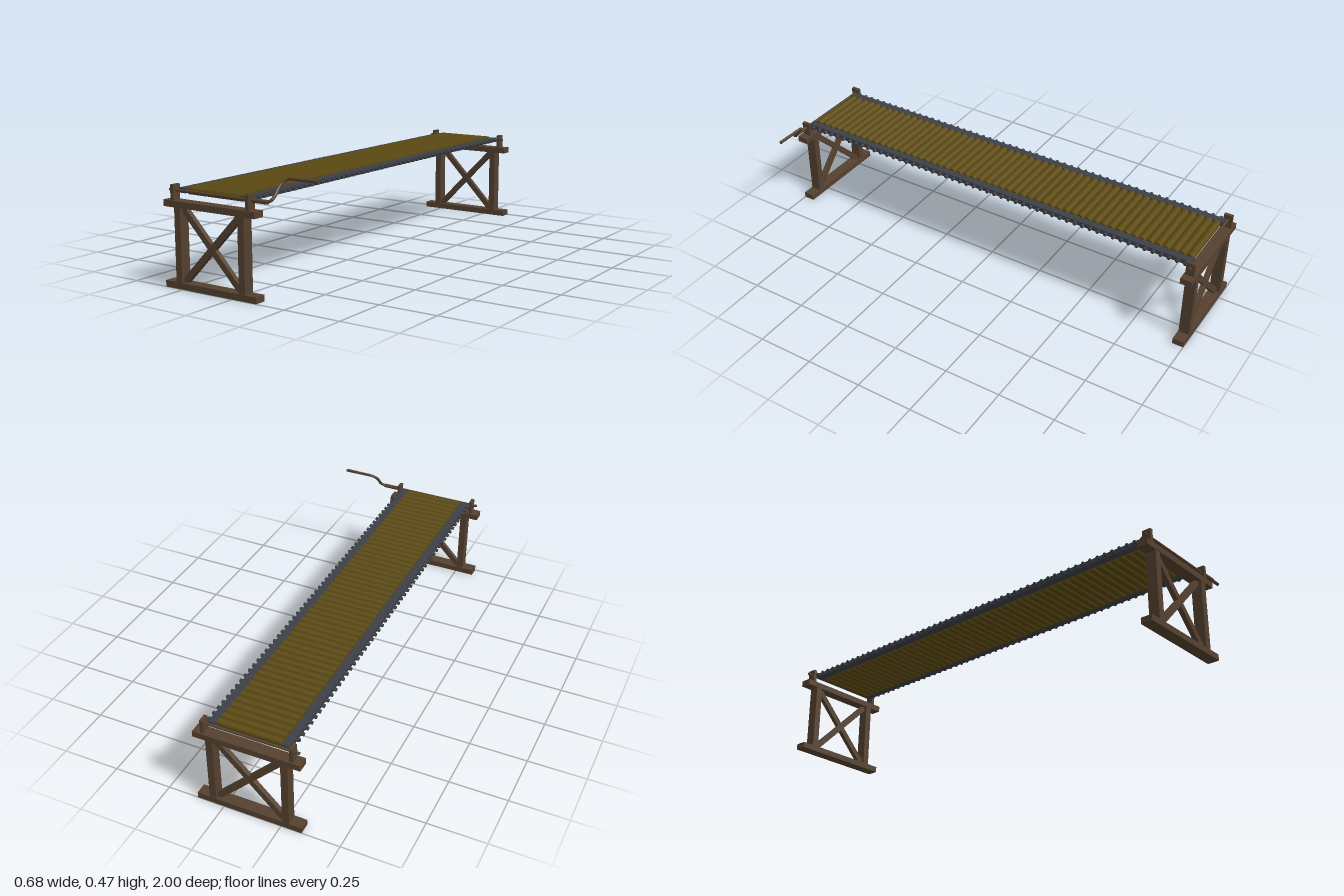
import * as THREE from 'three';

const CX = -0.11;      // centre line of the conveyor
const AXIS_Y = 0.386;  // height of all roller axles
const wood = new THREE.MeshStandardMaterial({ color: 0x55412f });
const olive = new THREE.MeshStandardMaterial({ color: 0x5c4a12 });
const steel = new THREE.MeshStandardMaterial({ color: 0x3d4147 });

function add(parent, name, geometry, material, x = 0, y = 0, z = 0) {
  const mesh = new THREE.Mesh(geometry, material);
  mesh.name = name;
  mesh.position.set(x, y, z);
  parent.add(mesh);
  return mesh;
}

function box(parent, name, w, h, d, x, y, z, material = wood) {
  return add(parent, name, new THREE.BoxGeometry(w, h, d), material, x, y, z);
}

// Cylinder lying along x between x0 and x1
function rod(parent, name, r, x0, x1, y, z, material, sides = 12) {
  const g = new THREE.CylinderGeometry(r, r, x1 - x0, sides).rotateZ(Math.PI / 2);
  return add(parent, name, g, material, (x0 + x1) / 2, y, z);
}

// Diagonal brace cut off square in the corners of the frame
function braceGeometry(hw, y0, y1, cut, depth) {
  const s = new THREE.Shape([
    [-hw, y0], [-hw + cut, y0], [hw, y1 - cut],
    [hw, y1], [hw - cut, y1], [-hw, y0 + cut],
  ].map(([x, y]) => new THREE.Vector2(x, y)));
  return new THREE.ExtrudeGeometry(s, { depth, bevelEnabled: false }).translate(0, 0, -depth / 2);
}

function createTrestle(name, z) {
  const g = new THREE.Group();
  g.name = name;
  g.position.set(CX, 0, z);
  box(g, 'footBeam', 0.456, 0.026, 0.05, 0, 0.013, 0);
  box(g, 'topBeam', 0.456, 0.026, 0.05, 0, 0.335, 0);
  const brace = braceGeometry(0.145, 0.026, 0.322, 0.018, 0.02);
  for (const side of [-1, 1]) {
    box(g, 'post', 0.03, 0.296, 0.046, side * 0.159, 0.174, 0);
    box(g, 'axleBracket', 0.015, 0.062, 0.038, side * 0.188, 0.378, 0);
    add(g, 'brace', brace, wood).rotation.y = side > 0 ? 0 : Math.PI;
  }
  // Drive axle through both brackets
  rod(g, 'endAxle', 0.006, -0.215, 0.205, AXIS_Y, 0, wood);
  return g;
}

function createRollerBed() {
  const g = new THREE.Group();
  g.name = 'rollerBed';
  const count = 54, pitch = 0.0357;
  for (let i = 0; i < count; i++) {
    const z = (i - (count - 1) / 2) * pitch;
    rod(g, 'roller', 0.0168, CX - 0.136, CX + 0.137, AXIS_Y, z, olive, 14);
    rod(g, 'rollerAxle', 0.0075, CX - 0.185, CX + 0.185, AXIS_Y, z, steel, 8);
  }
  // Side rails carrying the roller axles
  for (const side of [-1, 1])
    box(g, 'sideRail', 0.032, 0.02, 1.94, CX + side * 0.155, AXIS_Y, 0, steel);
  return g;
}

function createCrank() {
  const g = new THREE.Group();
  g.name = 'crank';
  rod(g, 'crankSocket', 0.009, 0.094, 0.162, AXIS_Y, 0.975, wood);
  // The arm leans inward as it rises
  const path = new THREE.CatmullRomCurve3([
    [0.15, 0], [0.162, 0.001], [0.174, 0.008], [0.18, 0.024], [0.179, 0.045],
    [0.183, 0.064], [0.195, 0.077], [0.213, 0.082], [0.23, 0.082], [0.337, 0.082],
  ].map(([x, h]) => new THREE.Vector3(x, AXIS_Y + h, 0.975 - h * 0.9)));
  add(g, 'crankArm', new THREE.TubeGeometry(path, 60, 0.0065, 10), wood);
  // Closed grip end
  rod(g, 'crankGrip', 0.007, 0.285, 0.338, AXIS_Y + 0.082, 0.975 - 0.0738, wood);
  return g;
}

export function createModel() {
  const model = new THREE.Group();
  model.name = 'rollerConveyor';
  model.add(
    createTrestle('frontTrestle', 0.975),
    createTrestle('backTrestle', -0.975),
    createRollerBed(),
    createCrank(),
  );
  return model;
}
